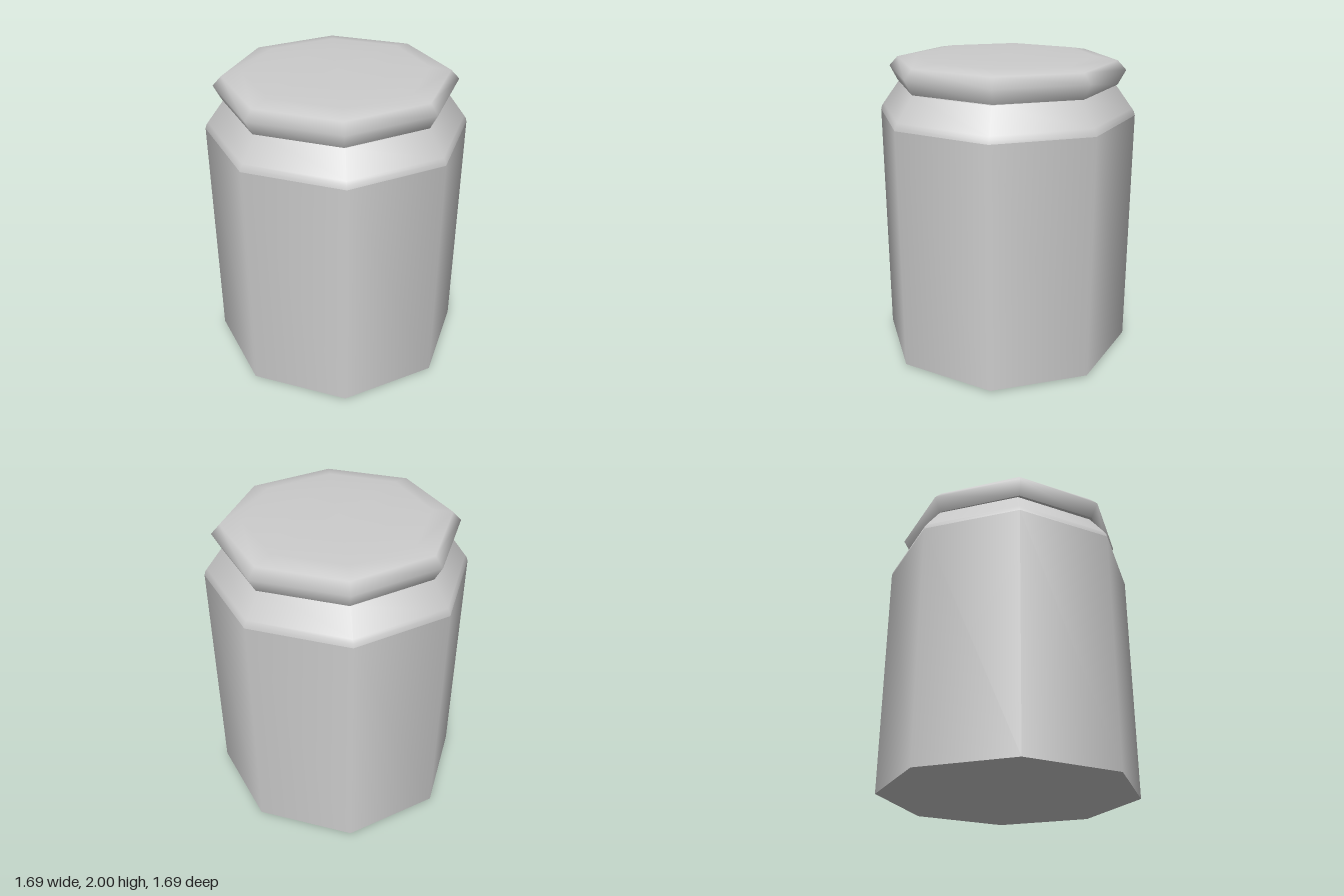
import * as THREE from 'three';

const SIDES = 8;

// Eight-sided part turned from a [radius, height] profile, listed bottom to top
function turned(name, profile, material) {
  const points = profile.map(([r, y]) => new THREE.Vector2(r, y));
  const mesh = new THREE.Mesh(new THREE.LatheGeometry(points, SIDES), material);
  mesh.name = name;
  return mesh;
}

export function createModel() {
  const grey = new THREE.MeshStandardMaterial({ color: 0xcccccc, side: THREE.DoubleSide });
  const model = new THREE.Group();
  model.name = 'jar';

  // Body: separate rings keep the edges between them crisp
  const body = new THREE.Group();
  body.name = 'body';
  body.add(
    turned('base', [[0, 0.005], [0.845, 0.02]], grey),
    turned('wall', [[0.845, 0.02], [0.845, 1.61]], grey),
    turned('shoulder', [[0.845, 1.61], [0.838, 1.635], [0.825, 1.655], [0.715, 1.805]], grey),
    turned('neckTop', [[0.715, 1.805], [0, 1.805]], grey)
  );

  // Lid: bulging rim with a shallow domed top, slightly deeper than wide
  const lid = new THREE.Group();
  lid.name = 'lid';
  lid.add(
    turned('lidUnderside', [[0, 1.81], [0.715, 1.81]], grey),
    turned('lidShell', [[0.715, 1.81], [0.765, 1.905], [0.71, 1.965], [0.58, 1.987], [0.3, 1.997], [0, 2]], grey)
  );
  lid.scale.z = 1.025;

  model.add(body, lid);
  return model;
}
